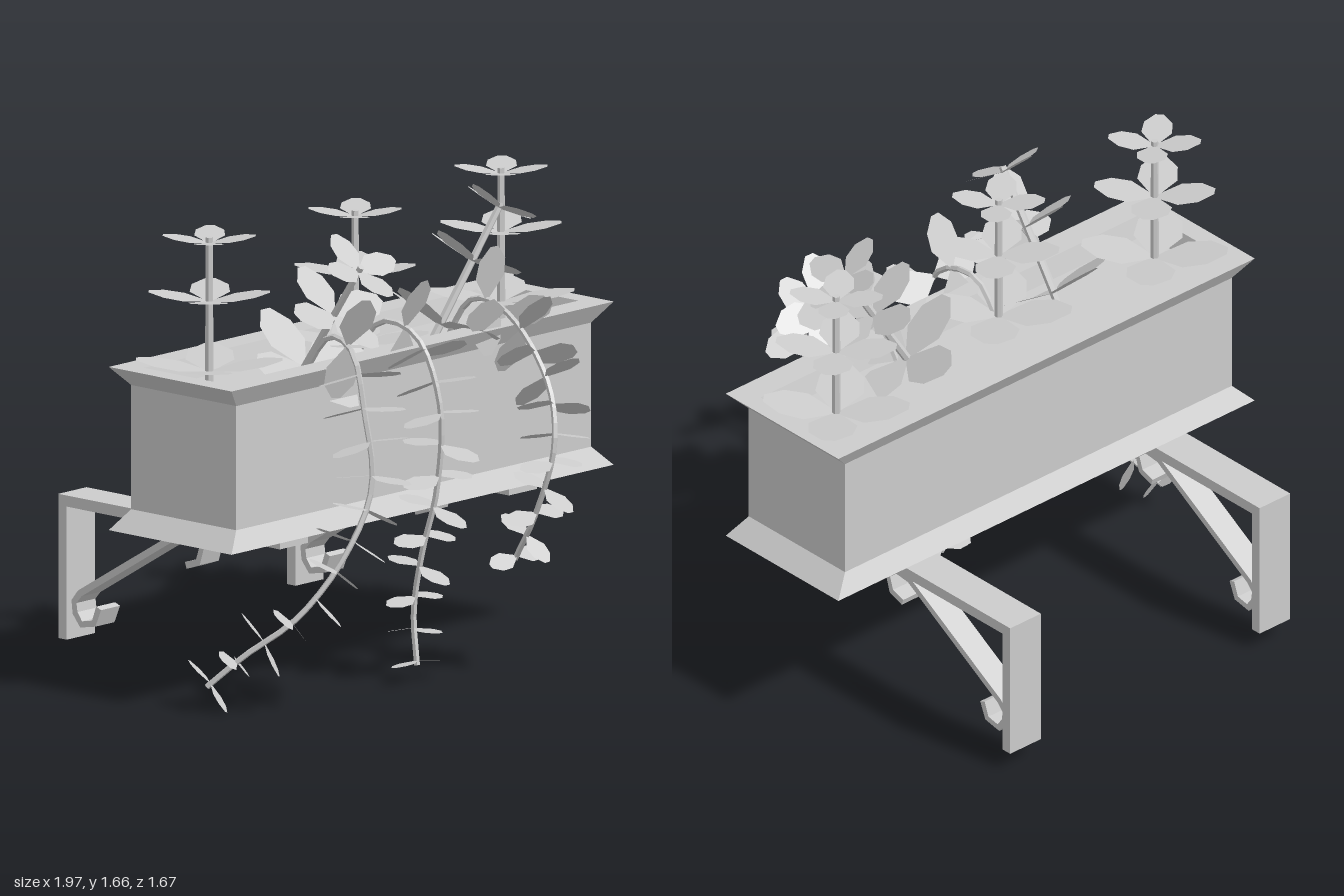
import * as THREE from 'three';

const material = new THREE.MeshStandardMaterial({ color: 0xcccccc, flatShading: true });
const leafMaterial = new THREE.MeshStandardMaterial({ color: 0xcccccc, flatShading: true, side: THREE.DoubleSide });
const V = (x, y, z) => new THREE.Vector3(x, y, z);

function addMesh(parent, name, geometry, mat = material) {
  const mesh = new THREE.Mesh(geometry, mat);
  mesh.name = name;
  parent.add(mesh);
  return mesh;
}

// Skin of stacked rectangles, each given as [half width, half depth, height]
function rectangleLoft(rings) {
  const corners = [[1, 1], [1, -1], [-1, -1], [-1, 1]];
  const at = (r, k) => [r[0] * corners[k % 4][0], r[2], r[1] * corners[k % 4][1]];
  const pos = [];
  for (let i = 0; i < rings.length - 1; i++) {
    for (let k = 0; k < 4; k++) {
      const a = at(rings[i], k), b = at(rings[i], k + 1);
      const c = at(rings[i + 1], k + 1), d = at(rings[i + 1], k);
      pos.push(...a, ...b, ...c, ...a, ...c, ...d);
    }
  }
  const geometry = new THREE.BufferGeometry();
  geometry.setAttribute('position', new THREE.Float32BufferAttribute(pos, 3));
  geometry.computeVertexNormals();
  return geometry;
}

// Flat bar following a path of [-z, y] points, extruded across x
function ribbon(path, thickness, width) {
  const pts = path.map(([a, b]) => new THREE.Vector2(a, b));
  const edge = (sign) => pts.map((p, i) => {
    const before = p.clone().sub(pts[Math.max(i - 1, 0)]).normalize();
    const after = pts[Math.min(i + 1, pts.length - 1)].clone().sub(p).normalize();
    const t = before.add(after).normalize();
    return new THREE.Vector2(p.x - t.y * sign * thickness / 2, p.y + t.x * sign * thickness / 2);
  });
  const shape = new THREE.Shape([...edge(1), ...edge(-1).reverse()]);
  const geometry = new THREE.ExtrudeGeometry(shape, { depth: width, bevelEnabled: false });
  return geometry.translate(0, 0, -width / 2).rotateY(Math.PI / 2);
}

// Unit leaf growing along +y: narrow base, broad middle, blunt tip
const leafGeometry = new THREE.ShapeGeometry(new THREE.Shape(
  [[-0.03, 0], [0.03, 0], [0.33, 0.42], [0.3, 0.75], [0.09, 1], [-0.09, 1], [-0.3, 0.75], [-0.33, 0.42]]
    .map(([x, y]) => new THREE.Vector2(x, y))));

// Leaf at a point, reaching out from the stem and leaning along its direction
function addLeaf(parent, point, out, along, size, lean) {
  const y = out.clone().addScaledVector(along, lean).normalize();
  const x = y.clone().cross(along).normalize();
  const z = x.clone().cross(y);
  const leaf = addMesh(parent, 'leaf', leafGeometry, leafMaterial);
  leaf.applyMatrix4(new THREE.Matrix4().makeBasis(x, y, z).scale(V(size, size, size)).setPosition(point));
}

// Straight stem with three whorls of four leaves, smaller towards the top
function uprightPlant(name, base, direction, turn) {
  const group = new THREE.Group();
  group.name = name;
  const length = 0.55;
  addMesh(group, 'stem', new THREE.CylinderGeometry(0.013, 0.016, length, 6).translate(0, length / 2, 0));
  for (const [height, size] of [[0.07, 0.26], [0.32, 0.215], [0.53, 0.165]]) {
    for (let k = 0; k < 4; k++) {
      const a = turn + k * Math.PI / 2;
      addLeaf(group, V(0, height, 0), V(Math.cos(a), 0, Math.sin(a)), V(0, 1, 0), size, 0.17);
    }
  }
  group.position.copy(base);
  group.quaternion.setFromUnitVectors(V(0, 1, 0), direction.normalize());
  return group;
}

// Trailing stem with leaf pairs that alternate between sideways and front-to-back
function trailingVine(name, points, pairs) {
  const group = new THREE.Group();
  group.name = name;
  const curve = new THREE.CatmullRomCurve3(points.map((p) => V(...p)));
  addMesh(group, 'stem', new THREE.TubeGeometry(curve, 28, 0.011, 5, false), leafMaterial);
  for (let i = 0; i < pairs; i++) {
    const u = 0.2 + 0.79 * i / (pairs - 1);
    const point = curve.getPointAt(u), along = curve.getTangentAt(u);
    const side = V(1, 0, 0).addScaledVector(along, -along.x).normalize();
    const out = i % 2 ? side : along.clone().cross(side);
    const size = 0.2 - 0.08 * i / (pairs - 1);
    for (const s of [1, -1]) addLeaf(group, point, out.clone().multiplyScalar(s), along, size, 0.12);
  }
  return group;
}

export function createModel() {
  const model = new THREE.Group();
  model.name = 'windowPlanter';

  // Trough with flared foot and rim
  const box = addMesh(model, 'planterBox', rectangleLoft([
    [0, 0, 0.55], [0.985, 0.2925, 0.55], [0.915, 0.25, 0.62], [0.915, 0.25, 1.065],
    [0.985, 0.2925, 1.135], [0.912, 0.192, 1.135], [0.89, 0.17, 1.06]]));
  box.position.set(0.013, 0, 0.0125);
  const soil = addMesh(model, 'soil', new THREE.PlaneGeometry(1.78, 0.34).rotateX(-Math.PI / 2));
  soil.position.set(0.013, 1.06, 0.0125);

  // Wall brackets with scrolled braces
  const scroll = [[0.23, 0.375], [0.172, 0.395], [0.153, 0.455], [0.194, 0.49], [0.262, 0.483],
    [0.735, 0.198], [0.762, 0.165], [0.757, 0.125], [0.728, 0.088], [0.668, 0.1], [0.645, 0.158]];
  for (const x of [-0.58, 0.6]) {
    const bracket = new THREE.Group();
    bracket.name = 'bracket';
    bracket.position.x = x;
    addMesh(bracket, 'shelfBar', new THREE.BoxGeometry(0.145, 0.04, 1.055).translate(0, 0.527, -0.2875));
    addMesh(bracket, 'wallBar', new THREE.BoxGeometry(0.145, 0.477, 0.04).translate(0, 0.2685, -0.795));
    addMesh(bracket, 'scrolledBrace', ribbon(scroll, 0.025, 0.098));
    model.add(bracket);
  }

  // Upright and leaning plants
  for (const [x, z] of [[-0.735, -0.02], [-0.07, 0.06], [0.78, -0.03]]) {
    model.add(uprightPlant('uprightPlant', V(x, 1.05, z), V(0, 1, 0), Math.PI / 4 + 0.06));
  }
  model.add(uprightPlant('forwardLeaningPlant', V(-0.35, 1.03, 0.04), V(0, 0.32, 0.216), 0));
  model.add(uprightPlant('sideLeaningPlant', V(0.32, 1.06, 0.06), V(0.26, 0.45, 0.08), 0));

  // Vines hanging over the front edge
  model.add(trailingVine('rightVine', [[-0.36, 1.06, 0.08], [-0.38, 1.22, 0.22], [-0.44, 1.2, 0.39],
    [-0.455, 1, 0.46], [-0.46, 0.74, 0.5], [-0.56, 0.51, 0.47], [-0.7, 0.29, 0.37],
    [-0.83, 0.15, 0.23], [-0.91, 0.04, 0.13]], 13));
  model.add(trailingVine('middleVine', [[-0.08, 1.06, 0.06], [-0.07, 1.22, 0.18], [-0.06, 1.19, 0.34],
    [-0.055, 0.96, 0.45], [-0.05, 0.65, 0.43], [-0.06, 0.42, 0.37], [-0.06, 0.2, 0.33],
    [-0.07, 0.015, 0.355]], 12));
  model.add(trailingVine('leftVine', [[0.37, 1.06, 0.08], [0.38, 1.23, 0.2], [0.36, 1.21, 0.39],
    [0.31, 1, 0.63], [0.265, 0.8, 0.7], [0.26, 0.55, 0.62], [0.28, 0.36, 0.5]], 12));
  return model;
}
